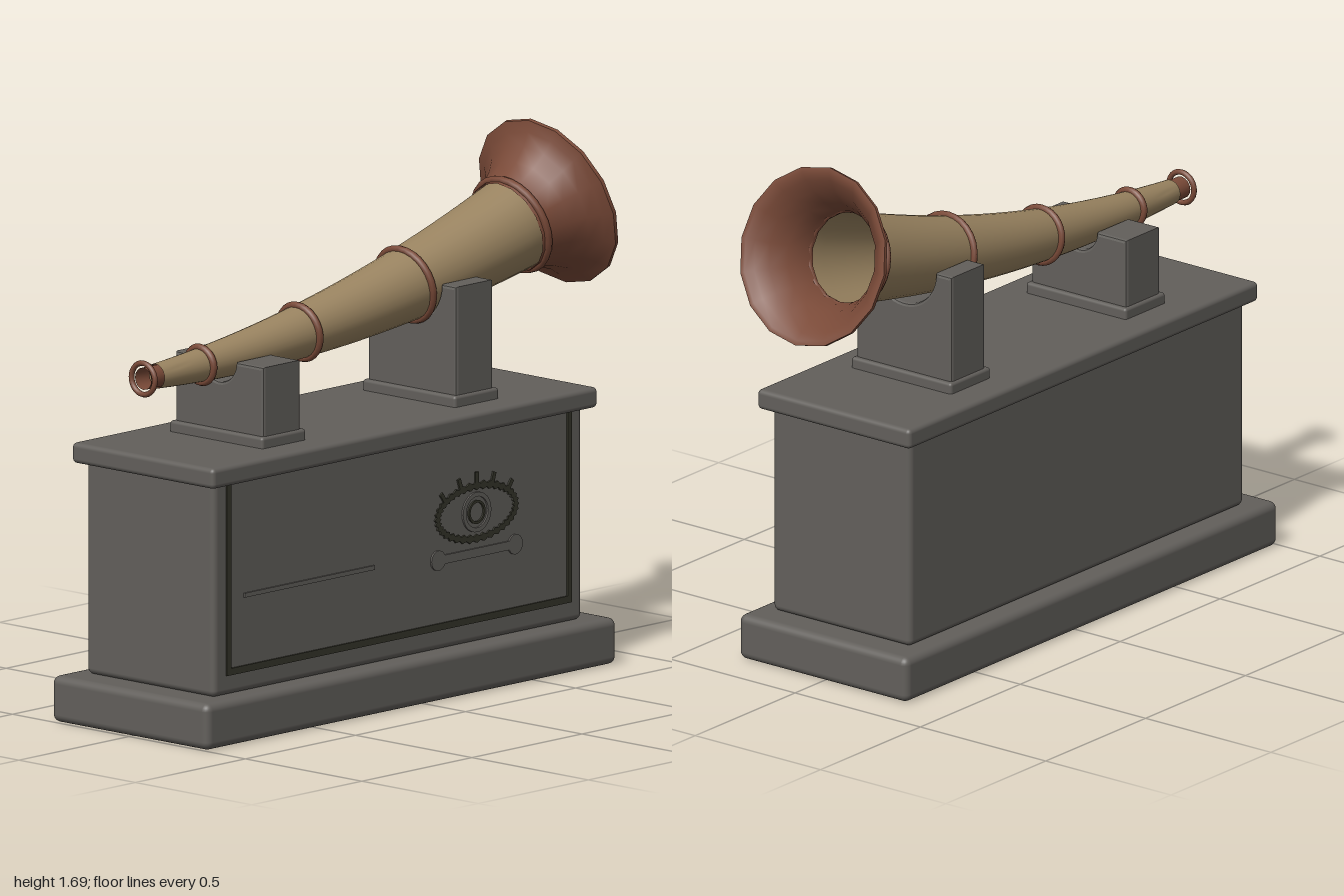
import * as THREE from 'three';
import { RoundedBoxGeometry } from 'three/addons/geometries/RoundedBoxGeometry.js';
import { toCreasedNormals } from 'three/addons/utils/BufferGeometryUtils.js';

// Horn axis: a gentle upward parabola, with a linear taper
const axisY = x => 1.13 + 0.086 * (x + 0.935) ** 2;
const axisAngle = x => Math.atan(0.172 * (x + 0.935));
const hornRadius = x => 0.04 + (x + 0.87) * 0.067;

// Loft circles along the horn axis; profile holds [x, radius] pairs
function sweep(profile, sides) {
  const pos = [], index = [];
  profile.forEach(([x, r], i) => {
    const t = axisAngle(x);
    for (let j = 0; j < sides; j++) {
      const a = j / sides * Math.PI * 2, u = r * Math.cos(a);
      pos.push(x - Math.sin(t) * u, axisY(x) + Math.cos(t) * u, r * Math.sin(a));
      if (i === profile.length - 1) continue;
      const k = (j + 1) % sides, p = i * sides, q = p + sides;
      index.push(p + j, p + k, q + j, p + k, q + k, q + j);
    }
  });
  const g = new THREE.BufferGeometry();
  g.setAttribute('position', new THREE.Float32BufferAttribute(pos, 3));
  g.setIndex(index);
  return toCreasedNormals(g, 0.7);
}

export function createModel() {
  const model = new THREE.Group();
  const material = (name, color) => {
    const m = new THREE.MeshStandardMaterial({ color });
    m.name = name;
    return m;
  };
  const stone = material('grey stone', 0x625f5b);
  const copper = material('copper', 0x7a4a38);
  const hornTan = material('tan horn', 0x998360);
  const inlay = material('dark inlay', 0x35352a);
  hornTan.side = copper.side = THREE.DoubleSide;

  const add = (name, geometry, mat, parent = model) => {
    const mesh = new THREE.Mesh(geometry, mat);
    mesh.name = name;
    parent.add(mesh);
    return mesh;
  };
  const block = (name, x0, x1, y0, y1, halfZ, radius) =>
    add(name, new RoundedBoxGeometry(x1 - x0, y1 - y0, halfZ * 2, 3, radius), stone)
      .position.set((x0 + x1) / 2, (y0 + y1) / 2, 0);

  // Pedestal
  block('pedestalBase', -1, 0.865, 0, 0.147, 0.337, 0.025);
  block('pedestalBody', -0.905, 0.77, 0.147, 0.84, 0.275, 0.02);
  block('pedestalTop', -0.94, 0.81, 0.82, 0.885, 0.305, 0.015);

  // Cradles with a half-round notch for the horn
  for (const [name, x, top, notch] of [['rearCradle', -0.505, 1.14, 0.07], ['frontCradle', 0.37, 1.265, 0.125]]) {
    block(name + 'Foot', x - 0.1, x + 0.1, 0.875, 0.92, 0.2, 0.01);
    const s = new THREE.Shape();
    s.moveTo(-0.19, 0.9);
    s.lineTo(0.19, 0.9);
    s.lineTo(0.19, top);
    s.lineTo(notch, top);
    s.absarc(0, top, notch, 0, Math.PI, true);
    s.lineTo(-0.19, top);
    const g = new THREE.ExtrudeGeometry(s, {
      depth: 0.15, bevelThickness: 0.01, bevelSize: 0.01, bevelOffset: -0.01, bevelSegments: 2, curveSegments: 16,
    });
    g.translate(0, 0, -0.075).rotateY(Math.PI / 2);
    add(name, g, stone).position.x = x;
  }

  // Horn tube, open at the mouth
  const horn = new THREE.Group();
  horn.name = 'horn';
  model.add(horn);
  const stations = Array.from({ length: 25 }, (_, i) => {
    const x = -0.88 + 1.62 * i / 24;
    return [x, hornRadius(x)];
  });
  add('hornTube', sweep(stations, 28), hornTan, horn);

  // Flared bell: outside, lip, then back along the inside
  add('bell', sweep([
    [0.715, 0.152], [0.76, 0.16], [0.81, 0.182], [0.855, 0.215], [0.885, 0.25], [0.9, 0.284],
    [0.912, 0.284], [0.912, 0.268], [0.895, 0.243], [0.865, 0.208], [0.815, 0.173], [0.765, 0.149], [0.73, 0.143],
  ], 16), copper, horn);

  // Mouthpiece neck and copper bands
  add('mouthpieceNeck', sweep([[-0.935, 0.035], [-0.87, 0.035], [-0.87, 0.039]], 16), copper, horn);
  const band = (name, x, r, tube) => {
    const mesh = add(name, new THREE.TorusGeometry(r, tube, 8, 28).rotateY(Math.PI / 2), copper, horn);
    mesh.position.set(x, axisY(x), 0);
    mesh.rotation.z = axisAngle(x);
  };
  band('mouthpieceRim', -0.935, 0.05, 0.009);
  [-0.675, -0.225, 0.255].forEach(x => band('hornBand', x, hornRadius(x) + 0.003, 0.012));
  band('bellCollar', 0.737, 0.154, 0.013);

  // Thin relief work on the front face
  const relief = new THREE.Group();
  relief.name = 'frontRelief';
  relief.position.z = 0.274;
  model.add(relief);
  const plate = (name, shape, mat) =>
    add(name, new THREE.ExtrudeGeometry(shape, { depth: 0.007, bevelEnabled: false, curveSegments: 16 }), mat, relief);
  const bar = (name, x, y, w, h, mat, angle = 0) => {
    const mesh = add(name, new THREE.BoxGeometry(w, h, 0.007), mat, relief);
    mesh.position.set(x, y, 0.0035);
    mesh.rotation.z = angle;
  };
  bar('frameLeft', 0.706, 0.52, 0.02, 0.62, inlay);
  bar('frameRight', -0.841, 0.52, 0.02, 0.62, inlay);
  bar('frameBottom', -0.0675, 0.221, 1.567, 0.022, inlay);
  bar('reliefLine', -0.475, 0.455, 0.59, 0.014, stone);

  // Eye with a scalloped rim
  const ex = 0.285, ey = 0.562;
  const scallop = (rx, ry, phase) => Array.from({ length: 144 }, (_, i) => {
    const a = i / 144 * Math.PI * 2, w = 0.004 * Math.cos(a * 36 + phase);
    return new THREE.Vector2(ex + (rx + w) * Math.cos(a), ey + (ry + w) * Math.sin(a));
  });
  const rim = new THREE.Shape(scallop(0.187, 0.094, 0));
  rim.holes.push(new THREE.Path(scallop(0.167, 0.074, Math.PI)));
  plate('eyeRim', rim, inlay);
  const iris = new THREE.Shape().absarc(ex, ey, 0.064, 0, Math.PI * 2);
  iris.holes.push(new THREE.Path().absarc(ex, ey, 0.05, 0, Math.PI * 2, true));
  plate('iris', iris, stone);
  const pupil = new THREE.Shape().absarc(ex, ey, 0.038, 0, Math.PI * 2);
  pupil.holes.push(new THREE.Path().absarc(ex, ey, 0.03, 0, Math.PI * 2, true));
  plate('pupil', pupil, inlay);
  for (let i = -2; i <= 2; i++) {
    bar('eyelash', ex + i * 0.075, ey + 0.108 - i * i * 0.011, 0.014, 0.04, inlay, -i * 0.3);
  }

  // Bar with round ends under the eye
  bar('roundEndedBar', ex, 0.433, 0.34, 0.028, stone);
  for (const side of [-1, 1]) {
    plate('barEnd', new THREE.Shape().absarc(ex + side * 0.175, 0.433, 0.032, 0, Math.PI * 2), stone);
  }
  return model;
}
